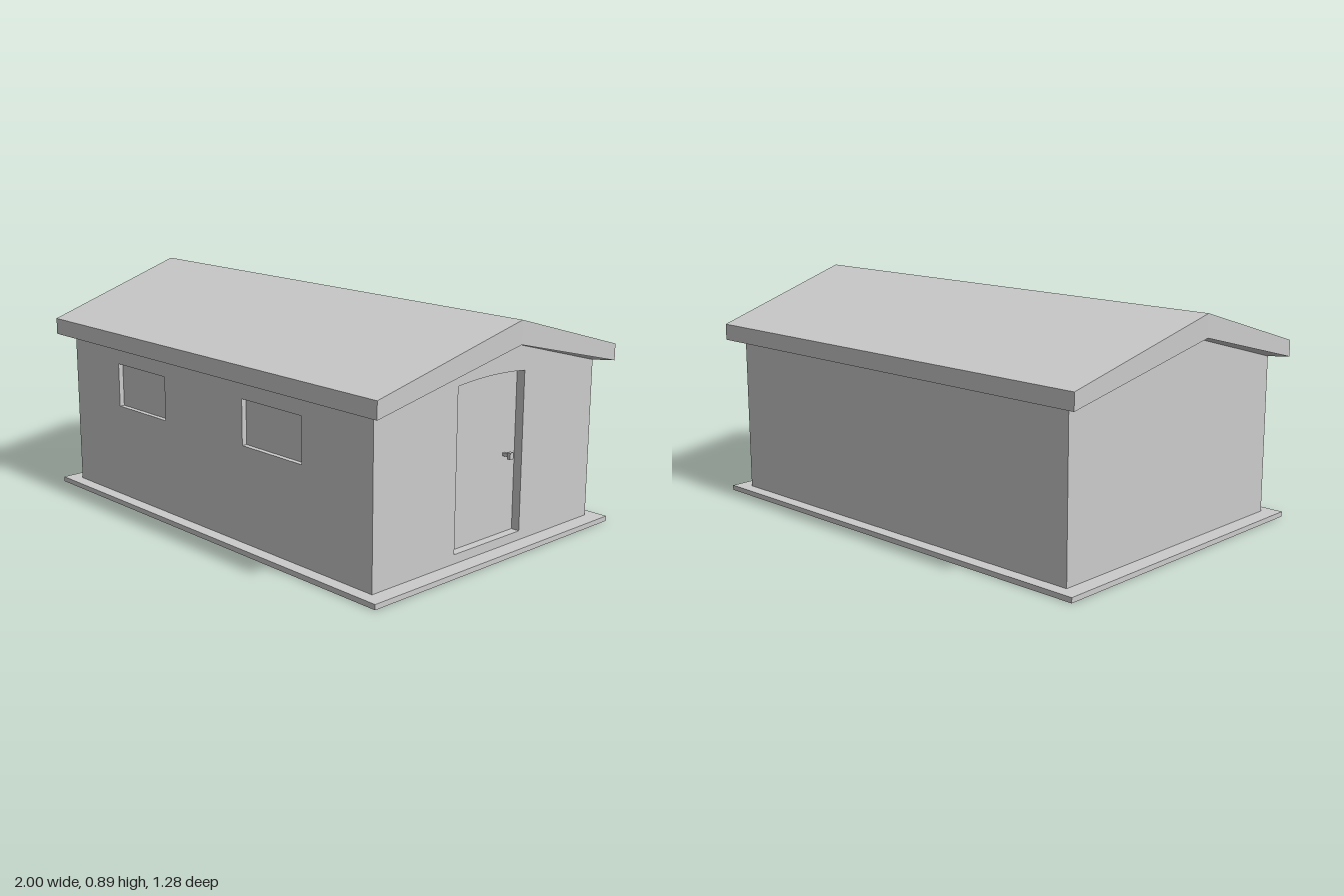
import * as THREE from 'three';

const WX = 0.875, WZ = 0.59;          // wall half sizes
const BASE = 0.02, EAVE = 0.645, RIDGE = 0.807;
const T = 0.035;                      // gable thickness = door recess
const TW = 0.02;                      // front wall thickness = window recess

const mat = new THREE.MeshStandardMaterial({ color: 0xcccccc, flatShading: true });

function add(parent, name, geometry, x = 0, y = 0, z = 0) {
  const mesh = new THREE.Mesh(geometry, mat);
  mesh.name = name;
  mesh.position.set(x, y, z);
  parent.add(mesh);
  return mesh;
}

const polygon = (pts) => new THREE.Shape(pts.map(([x, y]) => new THREE.Vector2(x, y)));

// Slab facing +z, or facing +x when turned
function slab(shape, depth, turned = false) {
  const g = new THREE.ExtrudeGeometry(shape, { depth, bevelEnabled: false });
  return turned ? g.rotateY(Math.PI / 2) : g;
}

const gableShape = () => polygon([[-WZ, BASE], [WZ, BASE], [WZ, EAVE], [0, RIDGE], [-WZ, EAVE]]);

// Doorway outline with a slightly arched head
function doorShape() {
  const s = new THREE.Shape();
  s.moveTo(-0.18, 0.055);
  s.lineTo(0.18, 0.055);
  s.lineTo(0.18, 0.668);
  s.quadraticCurveTo(0, 0.688, -0.18, 0.668);
  s.closePath();
  return s;
}

// Ring of six points: eave, ridge, eave on each end
const roofRing = (ex, rx, ez, ey, ry) => [
  [ex, ey, ez], [rx, ry, 0], [ex, ey, -ez], [-ex, ey, -ez], [-rx, ry, 0], [-ex, ey, ez],
];

function roofGeometry() {
  const rings = [
    roofRing(WX, WX, WZ, EAVE, RIDGE),          // where the soffit meets the walls
    roofRing(0.94, 1, 0.64, EAVE, RIDGE),       // lower edge of the fascia
    roofRing(0.94, 1, 0.64, 0.71, 0.894),       // upper edge of the fascia
  ];
  const pos = [];
  const quad = (a, b, c, d) => pos.push(...a, ...b, ...c, ...a, ...c, ...d);
  for (let r = 0; r < 2; r++) {
    for (let i = 0; i < 6; i++) {
      const j = (i + 1) % 6;
      quad(rings[r][i], rings[r][j], rings[r + 1][j], rings[r + 1][i]);
    }
  }
  const top = rings[2];
  quad(top[0], top[1], top[4], top[5]);
  quad(top[1], top[2], top[3], top[4]);
  const g = new THREE.BufferGeometry();
  g.setAttribute('position', new THREE.Float32BufferAttribute(pos, 3));
  g.computeVertexNormals();
  return g;
}

export function createModel() {
  const model = new THREE.Group();
  model.name = 'gardenHouse';

  add(model, 'baseSlab', new THREE.BoxGeometry(1.88, BASE, 1.28), 0, BASE / 2, 0);

  // Gable ends, the right-hand one in the +x direction with a doorway
  const doorGable = gableShape();
  doorGable.holes.push(doorShape());
  add(model, 'doorGableWall', slab(doorGable, T, true), WX - T);
  add(model, 'plainGableWall', slab(gableShape(), T, true), -WX);

  // Long walls between the gables, the front one with window openings
  const half = WX - T;
  const wall = () => polygon([[-half, BASE], [half, BASE], [half, EAVE], [-half, EAVE]]);
  const front = wall();
  const windows = [[-0.57, -0.262], [0.205, 0.525]];
  for (const [a, b] of windows) {
    front.holes.push(polygon([[a, 0.395], [b, 0.395], [b, 0.57], [a, 0.57]]));
    add(model, 'windowPane', new THREE.BoxGeometry(b - a + 0.02, 0.195, 0.01),
      (a + b) / 2, 0.4825, WZ - TW - 0.005);
  }
  add(model, 'frontWall', slab(front, TW), 0, 0, WZ - TW);
  add(model, 'backWall', slab(wall(), TW), 0, 0, -WZ);

  // Recessed door with a small knob
  const door = new THREE.Group();
  door.name = 'door';
  model.add(door);
  add(door, 'doorLeaf', slab(doorShape(), 0.015, true), WX - T - 0.015);
  const knob = new THREE.Group();
  knob.name = 'doorKnob';
  knob.position.set(WX - T, 0.358, -0.118);
  door.add(knob);
  add(knob, 'knobStem', new THREE.BoxGeometry(0.025, 0.012, 0.01), 0.0125);
  add(knob, 'knobHead', new THREE.BoxGeometry(0.015, 0.026, 0.018), 0.0315);

  add(model, 'roof', roofGeometry());
  return model;
}
